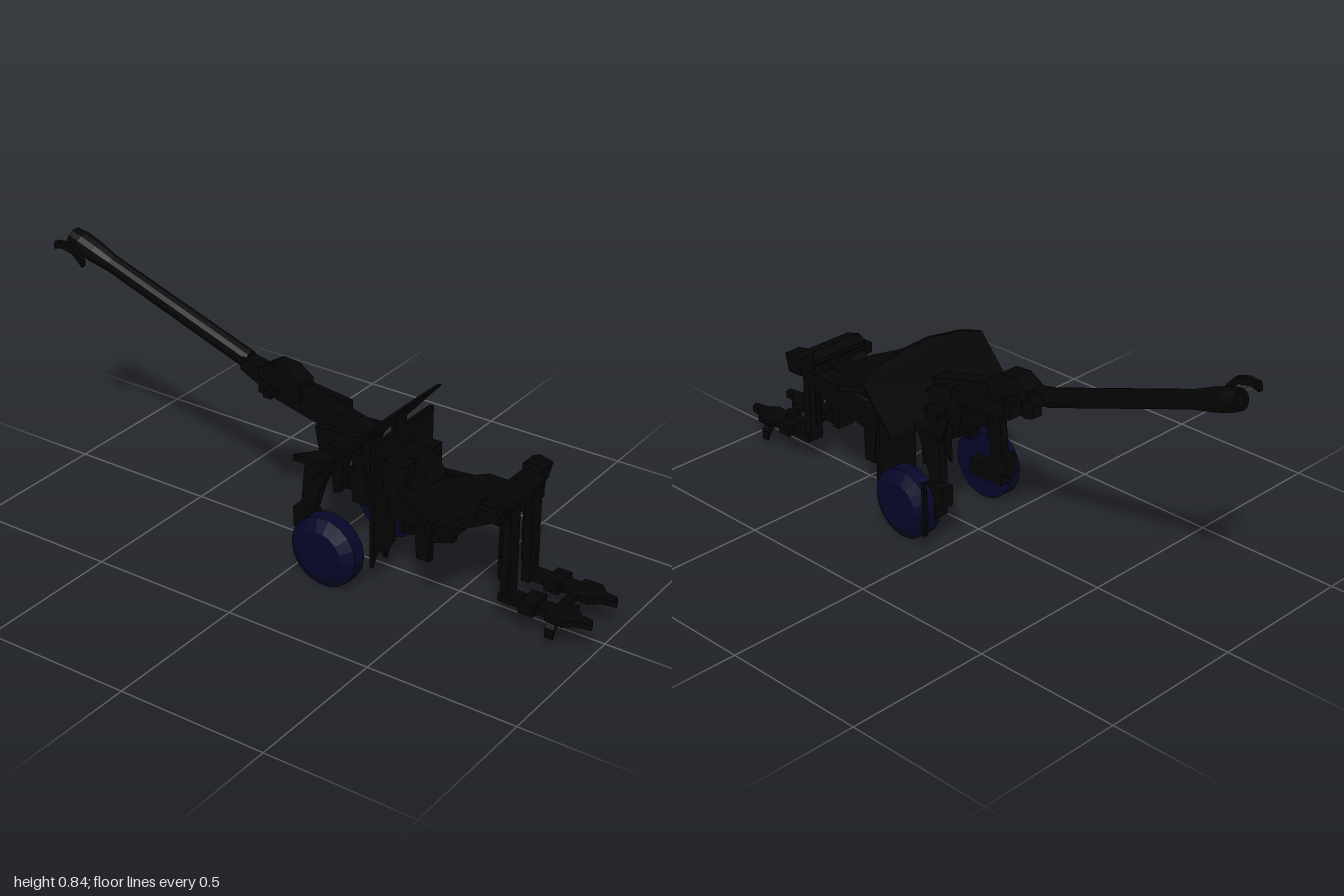
import * as THREE from 'three';

export function createModel() {
  const model = new THREE.Group();
  const gunmetal = new THREE.MeshStandardMaterial({ color: 0x040404, flatShading: true });
  gunmetal.name = 'blackMetal';
  const tyre = new THREE.MeshStandardMaterial({ color: 0x06062a, flatShading: true });
  tyre.name = 'navyWheel';

  const add = (name, geometry, material = gunmetal) => {
    const mesh = new THREE.Mesh(geometry, material);
    mesh.name = name;
    model.add(mesh);
    return mesh;
  };
  const box = (name, x0, x1, y0, y1, z0, z1) =>
    add(name, new THREE.BoxGeometry(x1 - x0, y1 - y0, z1 - z0)
      .translate((x0 + x1) / 2, (y0 + y1) / 2, (z0 + z1) / 2));
  const extrude = (points, depth) => new THREE.ExtrudeGeometry(
    new THREE.Shape(points.map(p => new THREE.Vector2(...p))), { depth, bevelEnabled: false });
  // Side profile given as [z, y], spanning x0 to x1
  const side = (name, points, x0, x1) =>
    add(name, extrude(points, x1 - x0).rotateY(-Math.PI / 2).translate(x1, 0, 0));
  // Plan given as [x, z], spanning y0 to y1
  const plan = (name, points, y0, y1) =>
    add(name, extrude(points, y1 - y0).rotateX(Math.PI / 2).translate(0, y1, 0));
  // Front outline given as [x, y], spanning z0 to z1
  const front = (name, points, z0, z1) => add(name, extrude(points, z1 - z0).translate(0, 0, z0));

  // Barrel with a swollen muzzle, lathed along its own axis
  const start = new THREE.Vector3(-0.007, 0.565, -0.285);
  const axis = new THREE.Vector3(0, 0.243, -0.702);
  const length = axis.length();
  const barrel = add('barrel', new THREE.LatheGeometry([
    [0, 0], [0.031, 0], [0.03, 0.3], [0.029, length - 0.17], [0.036, length - 0.1],
    [0.038, length - 0.04], [0.032, length], [0.018, length], [0.018, length - 0.05], [0, length - 0.05],
  ].map(p => new THREE.Vector2(...p)), 12));
  barrel.position.copy(start);
  barrel.quaternion.setFromUnitVectors(new THREE.Vector3(0, 1, 0), axis.clone().normalize());

  // Cradle, breech and recoil gear
  side('cradle', [[0.2, 0.46], [0.02, 0.44], [-0.15, 0.48], [-0.29, 0.545], [-0.29, 0.585],
    [-0.17, 0.56], [0.02, 0.52], [0.19, 0.475]], -0.045, 0.012);
  side('cradleCollar', [[-0.06, 0.5], [-0.22, 0.54], [-0.22, 0.57], [-0.17, 0.6], [-0.11, 0.595], [-0.06, 0.56]],
    -0.05, 0.02);
  side('recoilCylinder', [[0.06, 0.45], [-0.19, 0.48], [-0.19, 0.53], [0.06, 0.5]], 0.035, 0.06);
  box('recoilBracket', -0.02, 0.065, 0.48, 0.54, -0.19, -0.165);
  box('recoilClamp', -0.085, -0.03, 0.5, 0.525, -0.175, -0.145);
  side('cradleLug', [[-0.14, 0.5], [-0.2, 0.47], [-0.235, 0.48], [-0.23, 0.54], [-0.15, 0.55]], -0.03, 0.01);
  side('breech', [[0.42, 0.34], [0.28, 0.34], [0.28, 0.42], [0.36, 0.44], [0.42, 0.37]], -0.05, 0.04);

  // Sloping shield: an arched plate leaning back towards the crew
  const shield = extrude([[-0.26, 0.38], [0.26, 0.38], [0.262, 0.525], [0.19, 0.545], [0.06, 0.557],
    [-0.06, 0.56], [-0.19, 0.545], [-0.26, 0.525]], 0.012);
  const pos = shield.attributes.position;
  for (let i = 0; i < pos.count; i++) pos.setZ(i, pos.getZ(i) + 0.115 + (pos.getY(i) - 0.38) * 0.87);
  shield.computeVertexNormals();
  add('slopingShield', shield);

  // Upright shield plates, split around the centre slot
  front('rightShieldPlate', [[-0.15, 0.08], [-0.13, 0.12], [-0.09, 0.12], [-0.075, 0.08], [-0.06, 0.11],
    [-0.03, 0.12], [-0.022, 0.31], [-0.022, 0.5], [-0.15, 0.5]], 0.268, 0.283);
  front('leftShieldPlate', [[0.014, 0.12], [0.055, 0.12], [0.07, 0.09], [0.09, 0.12], [0.14, 0.12],
    [0.155, 0.08], [0.17, 0.12], [0.17, 0.5], [0.01, 0.5], [0.01, 0.31]], 0.268, 0.283);
  box('shieldBridge', -0.04, 0.02, 0.31, 0.55, 0.268, 0.283);

  // Saddle, axle and wheel brackets
  side('saddle', [[0.17, 0.46], [0.14, 0.4], [0.09, 0.34], [0.03, 0.34], [0.01, 0.45]], -0.07, 0.06);
  box('crossBeam', -0.15, 0.15, 0.33, 0.375, 0.05, 0.1);
  for (const s of [-1, 1]) {
    const span = (a, b) => s > 0 ? [a, b] : [-b, -a];
    side('wheelLeg', [[0.12, 0.37], [0.03, 0.385], [0.015, 0.22], [0.06, 0.2], [0.09, 0.3]], ...span(0.12, 0.15));
    box('hubBlock', ...span(0.12, 0.165), 0.14, 0.21, -0.005, 0.07);
    side('saddleFork', [[0.14, 0.42], [0.08, 0.42], [0.1, 0.26], [0.125, 0.27]], ...span(0.06, 0.1));
    plan('sideFin', [[s * 0.05, 0.08], [s * 0.165, -0.005], [s * 0.16, 0.12], [s * 0.06, 0.12]], 0.37, 0.39);
    box('axleStub', ...span(0.12, 0.17), 0.1, 0.15, 0.02, 0.16);
  }

  // Wheels, bevelled on the outer face
  const wheelProfile = [[0, -0.036], [0.118, -0.036], [0.118, 0.012], [0.078, 0.036], [0, 0.036]]
    .map(p => new THREE.Vector2(...p));
  for (const [s, x, name] of [[-1, -0.199, 'rightWheel'], [1, 0.185, 'leftWheel']]) {
    const wheel = add(name, new THREE.LatheGeometry(wheelProfile, 18), tyre);
    wheel.rotation.z = -s * Math.PI / 2;
    wheel.position.set(x, 0.118, 0.14);
  }
  box('sideRod', 0.221, 0.235, 0.07, 0.255, 0.004, 0.016);

  // Trail body behind the shield, open along the centre below
  box('trailHead', -0.1, 0.1, 0.32, 0.43, 0.28, 0.36);
  side('trailBody', [[0.71, 0.37], [0.62, 0.32], [0.52, 0.27], [0.36, 0.24], [0.3, 0.26], [0.3, 0.4],
    [0.42, 0.36], [0.48, 0.33], [0.6, 0.36], [0.65, 0.41], [0.71, 0.41]], -0.1, -0.035);
  side('trailInnerBeam', [[0.71, 0.36], [0.6, 0.315], [0.3, 0.315], [0.3, 0.38], [0.48, 0.34], [0.71, 0.4]], -0.035, 0.045);
  side('trailSideBeam', [[0.71, 0.35], [0.55, 0.28], [0.3, 0.25], [0.3, 0.33], [0.55, 0.35], [0.71, 0.4]], 0.085, 0.115);
  plan('slantedPlate', [[-0.25, 0.56], [-0.13, 0.35], [-0.04, 0.37], [0.115, 0.52], [0.115, 0.64], [-0.12, 0.61]],
    0.34, 0.365);
  front('slantedBracket', [[-0.245, 0.31], [-0.15, 0.26], [-0.05, 0.26], [-0.05, 0.35], [-0.25, 0.37]], 0.525, 0.545);
  for (const x of [-0.08, 0.055]) {
    side('trailSupport', [[0.44, 0.32], [0.435, 0.12], [0.39, 0.12], [0.38, 0.32]], x, x + 0.025);
    box('thinStrut', x, x + 0.012, 0.15, 0.38, 0.675, 0.685);
  }
  box('trailCap', -0.135, 0.12, 0.365, 0.4, 0.625, 0.705);
  side('trailCapRidge', [[0.715, 0.39], [0.63, 0.38], [0.63, 0.415], [0.66, 0.43], [0.715, 0.415]], -0.11, 0.11);
  side('capLobe', [[0.69, 0.38], [0.635, 0.38], [0.635, 0.44], [0.66, 0.45], [0.705, 0.44]], 0.11, 0.17);

  // Rear legs, rails and spades
  for (const s of [-1, 1]) {
    const c = s * 0.075;
    const legX = s * 0.062;
    box('rearLeg', legX - 0.026, legX + 0.026, 0.09, 0.4, 0.69, 0.718);
    box('rearRail', c - 0.025, c + 0.025, 0.09, 0.115, 0.69, 0.86);
    box('railJoint', c - 0.045, c + 0.04, 0.088, 0.125, 0.77, 0.82);
    plan('spade', [[c - 0.045, 0.86], [c + 0.045, 0.86], [c + 0.045, 0.92], [c + 0.015, 0.95],
      [c + 0.01, 0.99], [c - 0.015, 1], [c - 0.025, 0.95], [c - 0.05, 0.92]], 0.095, 0.115);
    front('spadeClaw', [[s * 0.06, 0.115], [s * 0.1, 0.11], [s * 0.125, 0.075], [s * 0.125, 0.042],
      [s * 0.112, 0.07], [s * 0.09, 0.085]], 0.865, 0.895);
  }
  box('spadeTie', -0.06, 0.06, 0.095, 0.115, 0.86, 0.885);
  side('centreClaw', [[0.91, 0.1], [0.89, 0.035], [0.875, 0.04], [0.85, 0.1]], -0.012, 0.002);

  // Small loose hooked fitting beside the muzzle
  side('muzzleFitting', [[-0.87, 0.762], [-0.91, 0.8], [-0.955, 0.808], [-0.985, 0.8], [-0.98, 0.826],
    [-0.94, 0.83], [-0.9, 0.818], [-0.87, 0.785]], -0.106, -0.088);
  return model;
}
